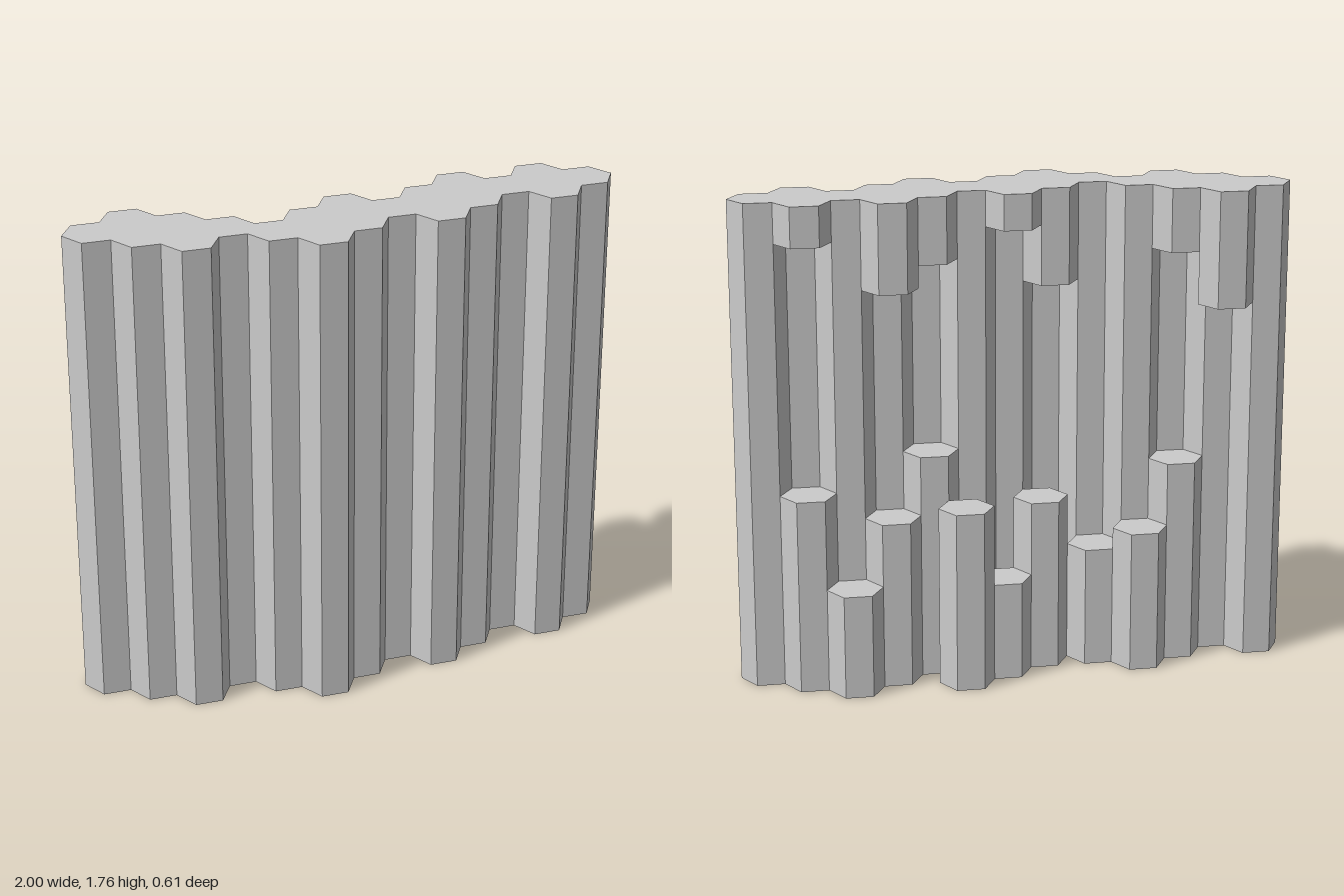
import * as THREE from 'three';

const R = 0.1;                        // hexagon radius
const ROW = R * Math.sqrt(3) / 2;     // half the depth of a hexagon
const H = 1.76;

export function createModel() {
  const root = new THREE.Group();
  root.name = 'hexColumnWall';
  const material = new THREE.MeshStandardMaterial({ color: 0xcccccc, flatShading: true });

  // One hexagonal prism; row counts half hexagons along z
  function column(name, x, row, bottom, top) {
    const geometry = new THREE.CylinderGeometry(R, R, top - bottom, 6);
    geometry.rotateY(Math.PI / 6);
    const mesh = new THREE.Mesh(geometry, material);
    mesh.name = name;
    mesh.position.set(x, (bottom + top) / 2, row * ROW);
    root.add(mesh);
  }

  // Full-height front wall, from the right end to the left end
  const wallRows = [-0.5, 0.5, 1.5, 0.5, 1.5, 2.5, 1.5, 0.5, 1.5, 0.5, -0.5, 0.5, -0.5];
  wallRows.forEach((row, i) => column('wallColumn', -0.9 + 0.15 * i, row, 0, H));

  // Columns hanging from the top at the back: x, row, lower end
  const hanging = [
    [-0.75, -1.5, 1.34], [-0.6, -0.5, 1.53], [-0.15, 0.5, 1.41], [0, -0.5, 1.63],
    [0.3, -0.5, 1.52], [0.45, -1.5, 1.44], [0.75, -1.5, 1.615],
  ];
  hanging.forEach(([x, row, y]) => column('hangingColumn', x, row, y, H));

  // Short columns standing on the ground at the back: x, row, height
  const standing = [
    [-0.6, -0.5, 0.75], [-0.45, -1.5, 0.52], [-0.3, -0.5, 0.44], [-0.1, -0.5, 0.63],
    [0.05, -1.5, 0.36], [0.2, -2.5, 0.66], [0.3, -0.5, 0.825], [0.45, -1.5, 0.61],
    [0.6, -2.5, 0.38], [0.75, -1.5, 0.71],
  ];
  standing.forEach(([x, row, y]) => column('standingColumn', x, row, 0, y));

  return root;
}
